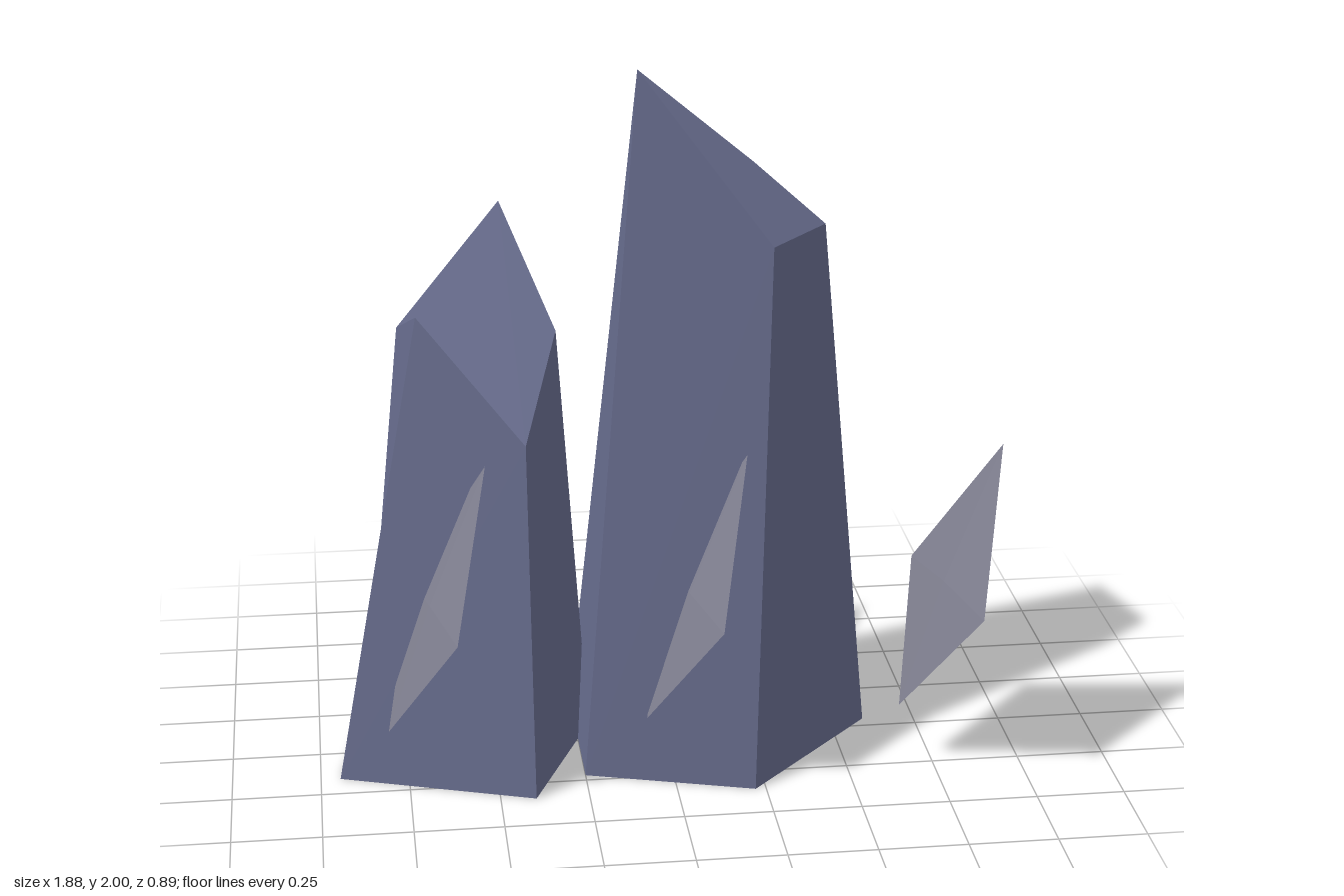
import * as THREE from 'three';

// Builds a faceted solid; every polygon keeps one shared flat normal.
// Each face is { loop: outline points, tris: index triples into the loop }.
function facetGeometry(faces) {
  const position = [], normal = [];
  for (const { loop, tris } of faces) {
    const n = new THREE.Vector3();
    loop.forEach((p, i) => n.add(p.clone().cross(loop[(i + 1) % loop.length])));
    n.normalize();
    for (const tri of tris) {
      for (const i of tri) {
        position.push(...loop[i].toArray());
        normal.push(n.x, n.y, n.z);
      }
    }
  }
  const geometry = new THREE.BufferGeometry();
  geometry.setAttribute('position', new THREE.Float32BufferAttribute(position, 3));
  geometry.setAttribute('normal', new THREE.Float32BufferAttribute(normal, 3));
  return geometry;
}

const points = (list) => list.map((p) => new THREE.Vector3(...p));

// Five-sided tapering column with an uneven broken top.
// base: [x, z] corners, top: [x, y, z] corners, both counter-clockwise from above.
function columnGeometry(base, top) {
  const b = points(base.map(([x, z]) => [x, 0, z]));
  const t = points(top);
  const faces = b.map((p, i) => {
    const j = (i + 1) % b.length;
    return { loop: [p, b[j], t[j], t[i]], tris: [[0, 1, 2], [0, 2, 3]] };
  });
  faces.push({ loop: t, tris: [[0, 1, 3], [1, 2, 3], [0, 3, 4]] });
  faces.push({ loop: b.slice().reverse(), tris: [[0, 1, 2], [0, 2, 3], [0, 3, 4]] });
  return facetGeometry(faces);
}

// Thin slanted diamond: two tips joined by a flat four-point ring.
function shardGeometry() {
  const [lowTip, highTip, back, front] = points([
    [0.65, 0.18, 0.24], [0.94, 0.94, 0.17], [0.73, 0.525, -0.03], [0.84, 0.525, 0.445],
  ]);
  const centre = new THREE.Vector3(0.79, 0.54, 0.205);
  const thickness = new THREE.Vector3(0.9, -0.365, -0.22).multiplyScalar(0.016);
  const ring = [front, centre.clone().add(thickness), back, centre.clone().sub(thickness)];
  const faces = [];
  ring.forEach((p, i) => {
    const q = ring[(i + 1) % 4];
    faces.push({ loop: [p, q, highTip], tris: [[0, 1, 2]] });
    faces.push({ loop: [q, p, lowTip], tris: [[0, 1, 2]] });
  });
  return facetGeometry(faces);
}

export function createModel() {
  const group = new THREE.Group();
  group.name = 'crystalCluster';

  const columnStone = new THREE.MeshStandardMaterial({ color: 0x666b8c });
  columnStone.name = 'slate blue stone';
  const shardStone = new THREE.MeshStandardMaterial({ color: 0x7e7e8e });
  shardStone.name = 'grey stone';

  const add = (name, geometry, material) => {
    const mesh = new THREE.Mesh(geometry, material);
    mesh.name = name;
    group.add(mesh);
    return mesh;
  };

  // Columns
  add('tallColumn', columnGeometry(
    [[-0.25, 0.22], [0.22, 0.36], [0.6, -0.045], [0.27, -0.445], [-0.25, -0.29]],
    [[-0.07, 2, -0.01], [0.3, 1.505, 0.06], [0.47, 1.52, -0.1], [0.3, 1.64, -0.335], [-0.055, 1.28, -0.255]],
  ), columnStone);
  add('shortColumn', columnGeometry(
    [[-0.945, 0.16], [-0.4, 0.345], [-0.21, -0.11], [-0.46, -0.43], [-0.855, -0.315]],
    [[-0.69, 1.335, 0.04], [-0.4, 0.985, 0.15], [-0.29, 1.22, -0.14], [-0.435, 1.56, -0.3], [-0.735, 1.21, -0.25]],
  ), columnStone);

  // Three matching shards in a row
  const shard = shardGeometry();
  [-1.455, -0.725, 0].forEach((x, i) => {
    add(`shard${i + 1}`, shard, shardStone).position.x = x;
  });

  return group;
}
